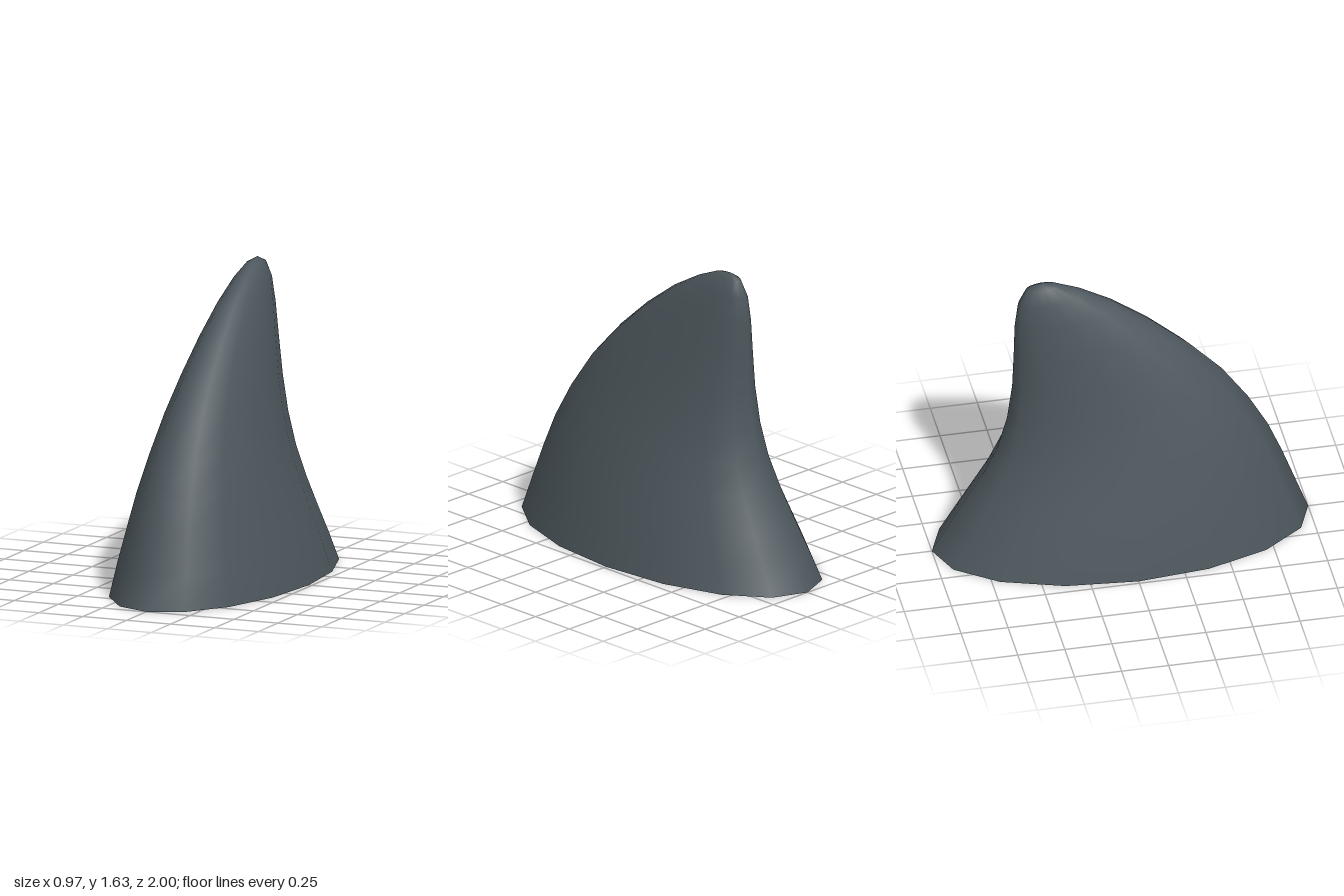
import * as THREE from 'three';

// Each ring tilts from a leading (front) point to a trailing (back) point:
// [front z, front y, back z, back y, half width]
const RINGS = [
  [1.0, 0, -1.0, 0, 0.483],
  [0.93, 0.19, -0.91, 0.15, 0.442],
  [0.86, 0.38, -0.82, 0.3, 0.393],
  [0.785, 0.56, -0.73, 0.45, 0.348],
  [0.68, 0.75, -0.65, 0.62, 0.296],
  [0.54, 0.95, -0.6, 0.8, 0.246],
  [0.37, 1.13, -0.573, 1.0, 0.2],
  [0.18, 1.3, -0.565, 1.2, 0.156],
  [-0.02, 1.45, -0.56, 1.38, 0.114],
  [-0.2, 1.555, -0.543, 1.515, 0.077],
  [-0.33, 1.612, -0.5, 1.6, 0.04],
];
const TIP = [0, 1.63, -0.43];
const SIDES = 16;

// Open shell lofted through tilted elliptical rings and closed at the tip
function finGeometry() {
  const positions = [], index = [];
  for (const [fz, fy, bz, by, w] of RINGS) {
    for (let i = 0; i < SIDES; i++) {
      const a = (i / SIDES) * Math.PI * 2;
      const t = (1 - Math.cos(a)) / 2;
      positions.push(Math.sin(a) * w, fy + (by - fy) * t, fz + (bz - fz) * t);
    }
  }
  const tip = RINGS.length * SIDES;
  positions.push(...TIP);
  for (let r = 0; r < RINGS.length; r++) {
    for (let i = 0; i < SIDES; i++) {
      const a = r * SIDES + i, b = r * SIDES + ((i + 1) % SIDES);
      if (r === RINGS.length - 1) index.push(a, b, tip);
      else index.push(a, b, b + SIDES, a, b + SIDES, a + SIDES);
    }
  }
  const geometry = new THREE.BufferGeometry();
  geometry.setAttribute('position', new THREE.Float32BufferAttribute(positions, 3));
  geometry.setIndex(index);
  geometry.computeVertexNormals();
  return geometry;
}

export function createModel() {
  const group = new THREE.Group();
  group.name = 'dorsalFin';
  const slate = new THREE.MeshStandardMaterial({ color: 0x4c565c, side: THREE.DoubleSide });
  slate.name = 'slateGrey';
  const fin = new THREE.Mesh(finGeometry(), slate);
  fin.name = 'fin';
  group.add(fin);
  return group;
}
